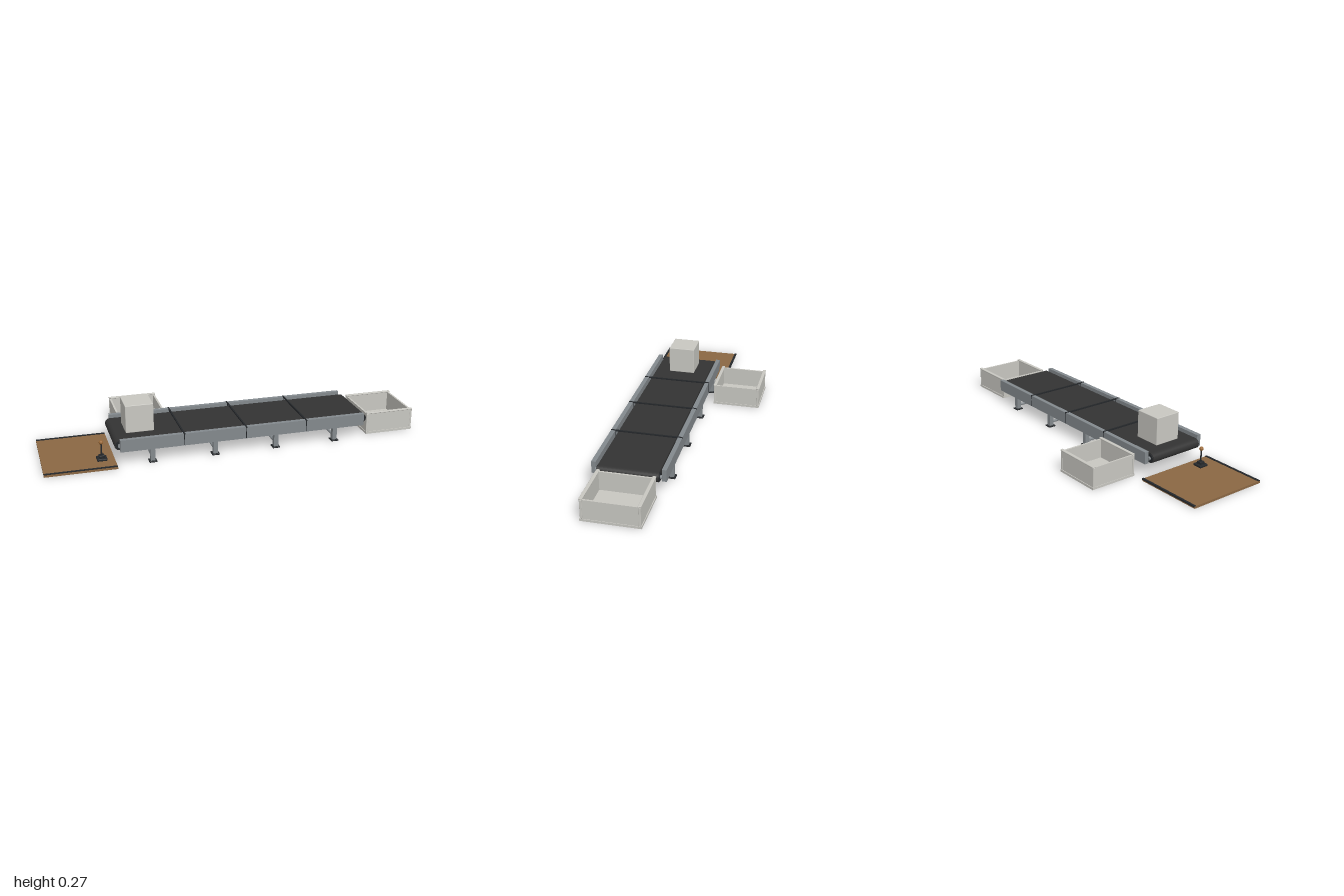
import * as THREE from 'three';
import { RoundedBoxGeometry } from 'three/addons/geometries/RoundedBoxGeometry.js';

const mat = (name, color) => {
  const m = new THREE.MeshStandardMaterial({ color });
  m.name = name;
  return m;
};

export function createModel() {
  const plastic = mat('pale grey', 0xc8c7c1);
  const steel = mat('steel grey', 0x83898d);
  const rubber = mat('belt black', 0x333333);
  const dark = mat('dark metal', 0x25282b);
  const wood = mat('brown board', 0x8a6743);
  const knobMat = mat('knob brown', 0x9c6a38);

  const model = new THREE.Group();
  model.name = 'conveyor';
  const add = (parent, name, geo, m, x, y, z) => {
    const mesh = new THREE.Mesh(geo, m);
    mesh.name = name;
    mesh.position.set(x, y, z);
    parent.add(mesh);
    return mesh;
  };
  // Box given by its minimum and maximum corners
  const box = (parent, name, m, [x0, y0, z0], [x1, y1, z1], r = 0) => {
    const w = x1 - x0, h = y1 - y0, d = z1 - z0;
    const geo = r ? new RoundedBoxGeometry(w, h, d, 2, r) : new THREE.BoxGeometry(w, h, d);
    return add(parent, name, geo, m, (x0 + x1) / 2, (y0 + y1) / 2, (z0 + z1) / 2);
  };
  const rod = (parent, name, m, r, length, x, y, z, axis = 'z', sides = 24) => {
    const geo = new THREE.CylinderGeometry(r, r, length, sides);
    if (axis === 'z') geo.rotateX(Math.PI / 2);
    if (axis === 'x') geo.rotateZ(Math.PI / 2);
    return add(parent, name, geo, m, x, y, z);
  };

  const midZ = 0.128;            // centre line of the conveyor
  const railStart = -0.615, railEnd = 0.697;
  const segment = (railEnd - railStart) / 4;

  // Belt: a loop around two end rollers
  const beltY = 0.097, beltR = 0.026, x0 = -0.613, x1 = 0.698;
  const loop = new THREE.Shape();
  loop.moveTo(x0, -beltR);
  loop.lineTo(x1, -beltR);
  loop.absarc(x1, 0, beltR, -Math.PI / 2, Math.PI / 2, false);
  loop.lineTo(x0, beltR);
  loop.absarc(x0, 0, beltR, Math.PI / 2, Math.PI * 1.5, false);
  const beltGeo = new THREE.ExtrudeGeometry(loop, { depth: 0.308, bevelEnabled: false, curveSegments: 16 });
  add(model, 'belt', beltGeo, rubber, 0, beltY, midZ - 0.154);
  for (const x of [x0, x1]) {
    rod(model, 'roller', dark, 0.022, 0.316, x, beltY, midZ);
    rod(model, 'rollerAxle', steel, 0.01, 0.335, x, beltY, midZ);
  }

  // Side rails in four segments, with a dark joint between neighbours
  for (const side of [-1, 1]) {
    const z = midZ + side * 0.177;
    for (let i = 0; i < 4; i++) {
      const a = railStart + i * segment;
      box(model, 'sideRail', steel, [a + 0.001, 0.072, z - 0.0115], [a + segment - 0.001, 0.136, z + 0.0115]);
      if (i > 0) box(model, 'railJoint', dark, [a - 0.002, 0.074, z - 0.012], [a + 0.002, 0.135, z + 0.012]);
    }
  }
  for (let i = 1; i < 4; i++) {
    const x = railStart + i * segment;
    box(model, 'crossSeam', dark, [x - 0.004, 0.131, midZ - 0.189], [x + 0.004, 0.138, midZ + 0.189]);
  }

  // Pairs of legs with feet and a cross tie
  for (let i = 0; i < 4; i++) {
    const x = railStart + (i + 0.5) * segment;
    const legs = new THREE.Group();
    legs.name = 'legPair';
    model.add(legs);
    for (const side of [-1, 1]) {
      const z = midZ + side * 0.174;
      box(legs, 'leg', steel, [x - 0.012, 0.006, z - 0.0125], [x + 0.012, 0.074, z + 0.0125]);
      box(legs, 'foot', dark, [x - 0.02, 0, z - 0.021], [x + 0.02, 0.007, z + 0.021], 0.002);
    }
    rod(legs, 'crossTie', steel, 0.007, 0.335, x, 0.026, midZ, 'z', 16);
  }

  // Carton riding on the belt
  box(model, 'carton', plastic, [-0.566, 0.124, 0.057], [-0.42, 0.271, 0.203], 0.003);

  // Open bins with corner posts and rounded lips
  const bin = (name, xa, xb, za, zb) => {
    const g = new THREE.Group();
    g.name = name;
    model.add(g);
    const t = 0.01, h = 0.114;
    box(g, 'binFloor', plastic, [xa, 0, za], [xb, 0.012, zb]);
    for (const x of [xa + 0.003, xb - 0.003 - t])
      box(g, 'binEnd', plastic, [x, 0.012, za + 0.004], [x + t, h, zb - 0.004]);
    for (const z of [za + 0.004, zb - 0.004 - t]) {
      box(g, 'binSide', plastic, [xa + 0.003, 0.012, z], [xb - 0.003, h, z + t]);
      box(g, 'binLip', plastic, [xa, h, z - 0.004], [xb, h + 0.007, z + t + 0.004], 0.003);
      for (const x of [xa, xb - 0.012])
        box(g, 'cornerPost', plastic, [x, 0.012, z - 0.001], [x + 0.012, h, z + t + 0.001], 0.002);
    }
  };
  bin('endBin', 0.732, 1, -0.02, 0.278);
  bin('rearBin', -0.567, -0.303, -0.349, -0.085);

  // Operator platform with dark edge strips
  box(model, 'platform', wood, [-1, 0, -0.092], [-0.635, 0.012, 0.349]);
  for (const z of [-0.09, 0.343])
    box(model, 'platformEdge', dark, [-1, 0.008, z - 0.006], [-0.635, 0.015, z + 0.006]);

  // Control lever
  const lever = new THREE.Group();
  lever.name = 'controlLever';
  lever.position.set(-0.7, 0.012, 0.24);
  model.add(lever);
  box(lever, 'leverBase', dark, [-0.026, 0, -0.026], [0.026, 0.012, 0.026], 0.003);
  box(lever, 'leverHousing', dark, [-0.014, 0.012, -0.014], [0.014, 0.026, 0.014], 0.003);
  rod(lever, 'leverStem', dark, 0.004, 0.07, 0, 0.055, 0, 'y', 12);
  add(lever, 'leverKnob', new THREE.SphereGeometry(0.011, 20, 14), knobMat, 0, 0.094, 0);

  return model;
}
